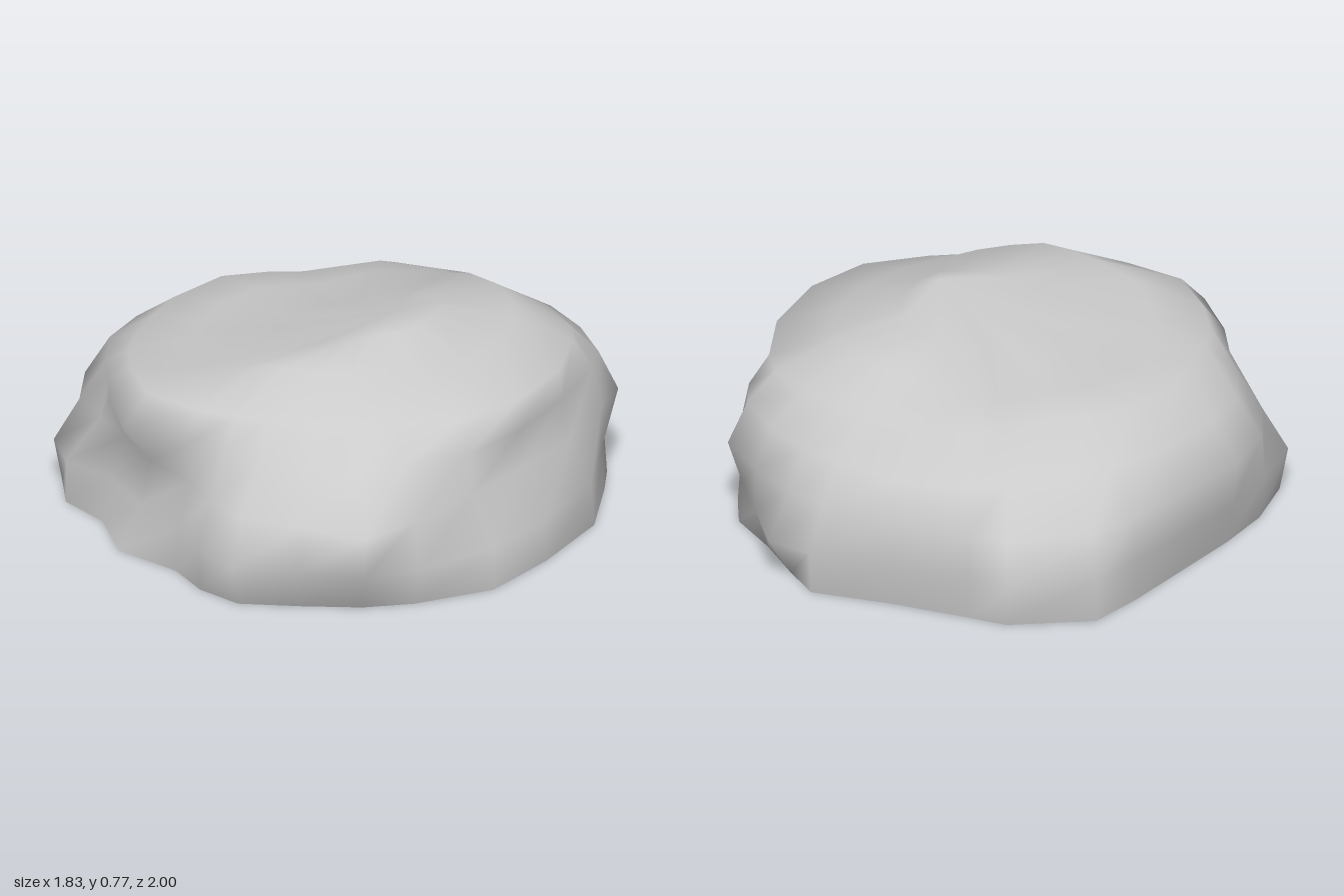
import * as THREE from 'three';

// Directions of the corners, in degrees from +x round towards +z
const angles = [0, 18, 36, 47, 60, 73, 83, 93, 109, 124, 135, 145, 158,
  171, 191, 205, 216, 234, 242, 260, 277, 286, 299, 312, 321, 339].map(THREE.MathUtils.degToRad);
const N = angles.length;

// Stone outline (radius in each direction) at each height
const rings = [
  { y: 0, r: [0.91, 0.96, 0.95, 0.95, 0.95, 0.99, 0.95, 0.88, 0.93, 0.885, 0.98, 0.99, 0.94,
    0.89, 0.88, 0.94, 1.02, 0.99, 0.94, 0.91, 0.99, 0.94, 0.9, 0.93, 0.91, 0.92] },
  { y: 0.16, r: [0.91, 0.96, 1.02, 1.04, 1.02, 1.045, 0.967, 0.86, 0.84, 0.85, 0.98, 1.02, 0.96,
    0.915, 0.9, 0.945, 1.03, 1.035, 0.948, 0.945, 1.0, 1.041, 0.95, 0.92, 0.9, 0.91] },
  { y: 0.32, r: [0.79, 0.83, 0.96, 1.07, 0.98, 0.96, 0.88, 0.81, 0.8, 0.8, 0.86, 0.93, 0.95,
    0.93, 0.905, 0.93, 0.97, 0.98, 0.94, 0.93, 0.93, 0.95, 0.95, 0.97, 0.9, 0.83] },
  { y: 0.47, r: [0.79, 0.81, 0.82, 0.86, 0.8, 0.78, 0.79, 0.83, 0.91, 0.86, 0.83, 0.84, 0.86,
    0.84, 0.82, 0.8, 0.79, 0.83, 0.87, 0.88, 0.86, 0.88, 0.89, 0.9, 0.87, 0.8] },
  { y: 0.58, r: [0.78, 0.76, 0.7, 0.68, 0.69, 0.71, 0.72, 0.76, 0.81, 0.78, 0.76, 0.73, 0.7,
    0.69, 0.67, 0.61, 0.57, 0.61, 0.65, 0.66, 0.67, 0.71, 0.76, 0.8, 0.8, 0.79] },
];

// Height of the crown's edge in each direction, lower on the right
const crown = [0.65, 0.65, 0.67, 0.69, 0.7, 0.71, 0.7, 0.67, 0.635, 0.615, 0.61, 0.605, 0.6,
  0.6, 0.6, 0.6, 0.6, 0.61, 0.62, 0.64, 0.67, 0.69, 0.695, 0.685, 0.675, 0.66];

function ringPoint(ring, i) {
  return [ring.r[i] * Math.cos(angles[i]), ring.y, ring.r[i] * Math.sin(angles[i])];
}

function build(points, index) {
  const g = new THREE.BufferGeometry();
  g.setAttribute('position', new THREE.Float32BufferAttribute(points.flat(), 3));
  g.setIndex(index);
  g.computeVertexNormals();
  return g;
}

export function createModel() {
  const group = new THREE.Group();
  group.name = 'boulder';
  const stone = new THREE.MeshStandardMaterial({ color: 0xcacaca });
  stone.name = 'grey stone';

  // Sides
  const loops = rings.map((ring) => angles.map((a, i) => ringPoint(ring, i)));

  // Crown edge, then a small tilted ring around the off-centre peak
  const rim = loops[loops.length - 1];
  loops.push(rim.map(([x, , z], i) => [x * 0.72, crown[i], z * 0.76]));
  loops.push(rim.map(([x, , z], i) =>
    [x * 0.36 + 0.05, 0.685 + 0.055 * Math.cos(angles[i]), z * 0.38]));
  const points = [...loops.flat(), [0.24, 0.77, 0]];

  const index = [];
  const last = loops.length - 1;
  for (let i = 0; i < N; i++) {
    const k = (i + 1) % N;
    for (let j = 0; j < last; j++) {
      const a = j * N + i, b = j * N + k, c = a + N, d = b + N;
      index.push(a, c, b, b, c, d);
    }
    index.push(last * N + i, points.length - 1, last * N + k);
  }
  const body = new THREE.Mesh(build(points, index), stone);
  body.name = 'stoneBody';
  group.add(body);

  // Flat underside with a sharp edge
  const baseIndex = [];
  for (let i = 0; i < N; i++) baseIndex.push(0, i + 1, ((i + 1) % N) + 1);
  const base = new THREE.Mesh(build([[0, 0, 0], ...loops[0]], baseIndex), stone);
  base.name = 'underside';
  group.add(base);

  return group;
}
